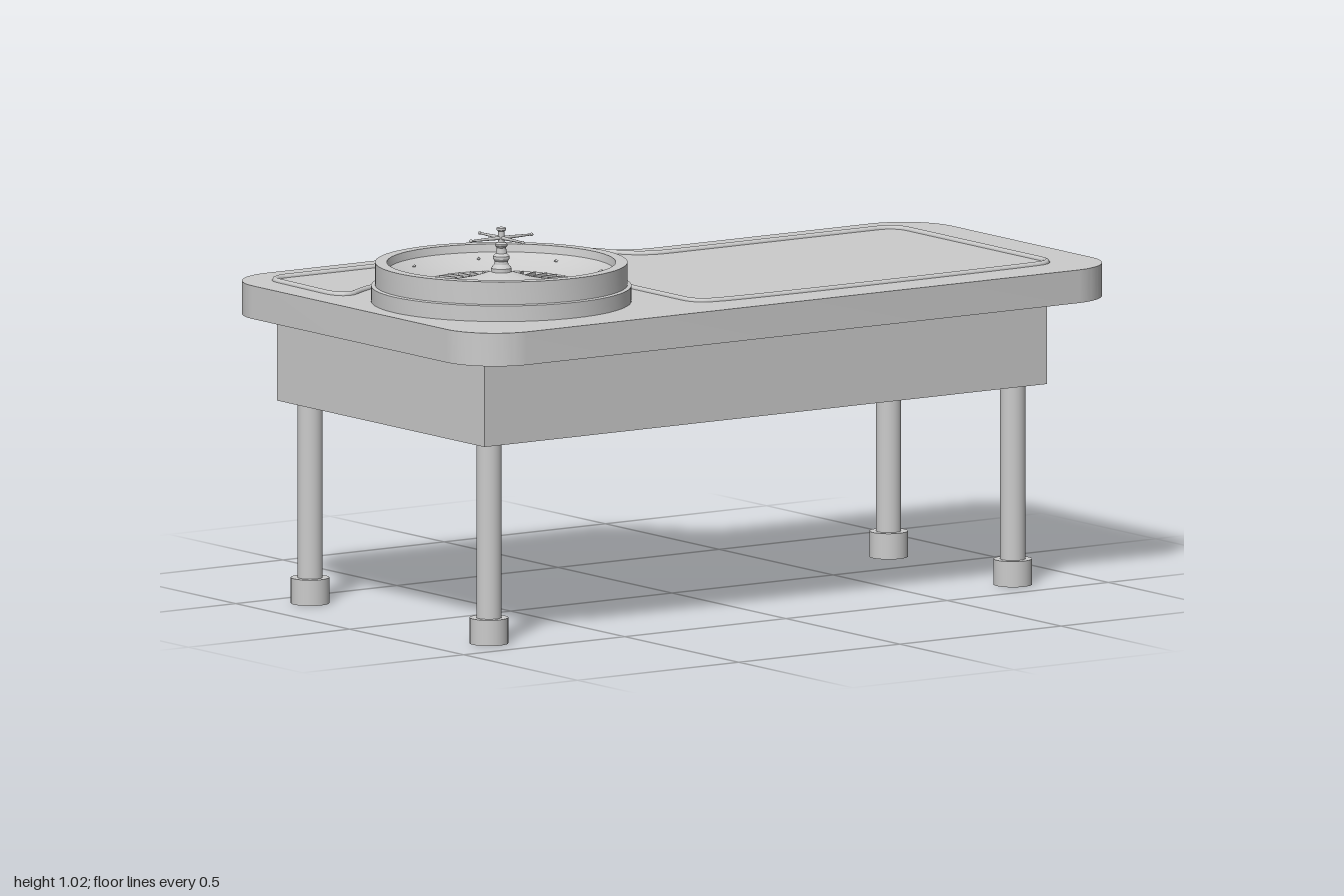
import * as THREE from 'three';
import { toCreasedNormals } from 'three/addons/utils/BufferGeometryUtils.js';

const material = new THREE.MeshStandardMaterial({ color: 0xcccccc });
const WHEEL = { x: -0.625, z: 0.135 };

function add(parent, name, geometry, x = 0, y = 0, z = 0) {
  const mesh = new THREE.Mesh(geometry, material);
  mesh.name = name;
  mesh.position.set(x, y, z);
  parent.add(mesh);
  return mesh;
}

// Plan shapes are drawn as (x, -z) and extruded upwards
function slab(shape, height) {
  const g = new THREE.ExtrudeGeometry(shape, { depth: height, bevelEnabled: false, curveSegments: 14 });
  g.rotateX(-Math.PI / 2);
  return toCreasedNormals(g, 0.5);
}

function lathe(points, segments) {
  const g = new THREE.LatheGeometry(points.map(([r, y]) => new THREE.Vector2(r, y)), segments);
  return toCreasedNormals(g, 0.4);
}

// Smooth step in the back edge, from the shallow end to the deep end
function backCurve(path, x0, v0, x1, v1) {
  const mx = (x0 + x1) / 2, mv = (v0 + v1) / 2, k = 0.11;
  path.bezierCurveTo(x0 - k, v0, mx + 0.035, mv - 0.05, mx, mv);
  path.bezierCurveTo(mx - 0.035, mv + 0.05, x1 + k, v1, x1, v1);
}

function topShape() {
  const s = new THREE.Shape(), r = 0.15, q = Math.PI / 2;
  s.moveTo(-1 + r, -0.575);
  s.absarc(1 - r, -0.575 + r, r, -q, 0, false);
  s.absarc(1 - r, 0.335 - r, r, 0, q, false);
  s.lineTo(0.19, 0.335);
  backCurve(s, 0.19, 0.335, -0.14, 0.575);
  s.absarc(-1 + r, 0.575 - r, r, q, 2 * q, false);
  s.absarc(-1 + r, -0.575 + r, r, 2 * q, 3 * q, false);
  return s;
}

// Raised bead around the playing area, bending round the wheel
function beadGeometry() {
  const p = new THREE.Path(), r = 0.055, q = Math.PI / 2;
  p.moveTo(-0.235 + r, -0.45);
  p.absarc(0.87 - r, -0.45 + r, r, -q, 0, false);
  p.absarc(0.87 - r, 0.25 - r, r, 0, q, false);
  p.lineTo(0.17, 0.25);
  backCurve(p, 0.17, 0.25, -0.12, 0.49);
  p.absarc(-0.91 + r, 0.49 - r, r, q, 2 * q, false);
  p.lineTo(-0.915, 0.24);
  p.quadraticCurveTo(-0.92, 0.14, -0.86, 0.176);
  p.absarc(WHEEL.x, -WHEEL.z, 0.39, 2.217, 0, true);
  p.lineTo(-0.235, -0.45 + r);
  p.absarc(-0.235 + r, -0.45 + r, r, 2 * q, 3 * q, false);
  const pts = p.getSpacedPoints(180).slice(0, -1).map(v => new THREE.Vector3(v.x, 0, -v.y));
  const curve = new THREE.CatmullRomCurve3(pts, true);
  return new THREE.TubeGeometry(curve, 360, 0.009, 8, true);
}

function buildWheel() {
  const wheel = new THREE.Group();
  wheel.name = 'wheel';
  wheel.position.set(WHEEL.x, 0.82, WHEEL.z);

  // Stepped housing, rim, sloping bowl and central cone
  add(wheel, 'bowl', lathe([
    [0.33, 0], [0.33, 0.045], [0.32, 0.047], [0.32, 0.105], [0.29, 0.105], [0.286, 0.085],
    [0.25, 0.066], [0.2, 0.05], [0.196, 0.042], [0.145, 0.04], [0.14, 0.05], [0.08, 0.064],
    [0.03, 0.08], [0, 0.085]], 72));

  // Pocket dividers
  const count = 37;
  for (let i = 0; i < count; i++) {
    const a = (i / count) * Math.PI * 2;
    const fret = add(wheel, 'pocketDivider', new THREE.BoxGeometry(0.052, 0.012, 0.005),
      Math.cos(a) * 0.17, 0.046, Math.sin(a) * 0.17);
    fret.rotation.y = -a;
  }

  // Small deflectors on the bowl slope
  for (let i = 0; i < 8; i++) {
    const a = (i + 0.5) * Math.PI / 4;
    const stud = add(wheel, 'deflector', new THREE.OctahedronGeometry(0.008),
      Math.cos(a) * 0.26, 0.072, Math.sin(a) * 0.26);
    stud.rotation.y = -a;
    stud.scale.set(i % 2 ? 0.6 : 1.2, 0.6, i % 2 ? 1.2 : 0.6);
  }

  // Turned spindle
  add(wheel, 'spindle', lathe([
    [0.026, 0.07], [0.026, 0.09], [0.018, 0.1], [0.017, 0.108], [0.021, 0.114], [0.021, 0.121],
    [0.014, 0.128], [0.012, 0.142], [0.016, 0.148], [0.016, 0.152], [0.008, 0.156],
    [0.008, 0.184], [0.012, 0.187], [0.012, 0.193], [0, 0.196]], 24));

  // Four tapered handles with end knobs
  for (let i = 0; i < 4; i++) {
    const arm = new THREE.Group();
    arm.name = 'handle';
    arm.rotation.y = i * Math.PI / 2;
    arm.position.y = 0.167;
    add(arm, 'handleRod', new THREE.CylinderGeometry(0.0025, 0.005, 0.094, 10), 0.047).rotation.z = -Math.PI / 2;
    add(arm, 'handleKnob', new THREE.SphereGeometry(0.0045, 10, 8), 0.094);
    wheel.add(arm);
  }
  return wheel;
}

export function createModel() {
  const table = new THREE.Group();
  table.name = 'gamingTable';

  add(table, 'tableTop', slab(topShape(), 0.085), 0, 0.74, 0);
  add(table, 'bead', beadGeometry(), 0, 0.825, 0);

  // Stepped body under the top
  const body = new THREE.Shape([
    [-0.9, -0.45], [0.845, -0.45], [0.845, 0.22], [-0.08, 0.22], [-0.08, 0.46], [-0.9, 0.46],
  ].map(([x, v]) => new THREE.Vector2(x, v)));
  add(table, 'body', slab(body, 0.225), 0, 0.517, 0);

  // Legs with wider feet
  for (const [x, z] of [[-0.84, 0.385], [0.785, 0.385], [0.785, -0.16], [-0.84, -0.4]]) {
    add(table, 'leg', new THREE.CylinderGeometry(0.032, 0.032, 0.48, 32), x, 0.28, z);
    add(table, 'foot', new THREE.CylinderGeometry(0.049, 0.049, 0.066, 32), x, 0.033, z);
  }

  table.add(buildWheel());
  return table;
}
